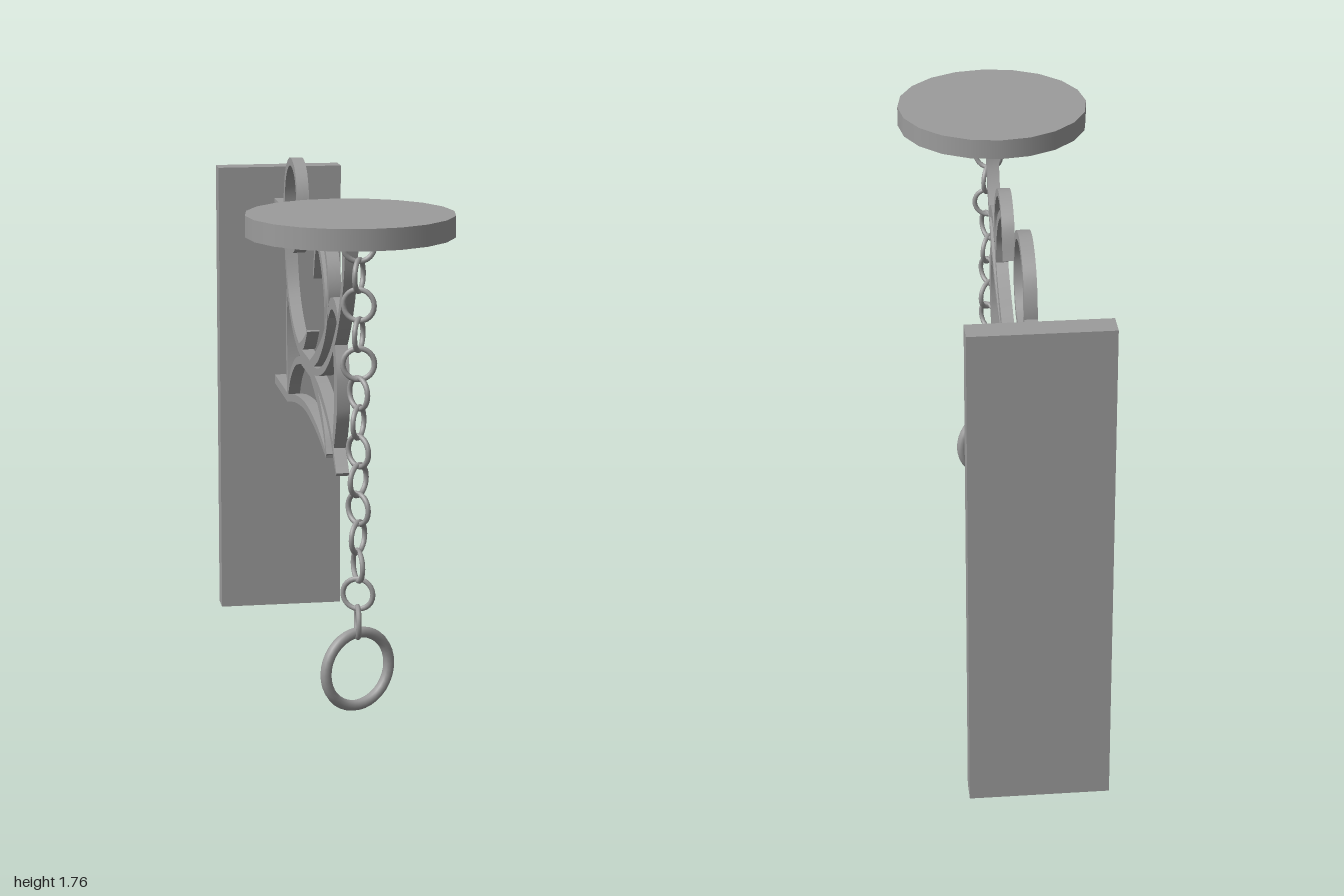
import * as THREE from 'three';
import { toCreasedNormals } from 'three/addons/utils/BufferGeometryUtils.js';

const DEPTH = 0.042;
const material = new THREE.MeshStandardMaterial({ color: 0x9c9c9c });

function add(parent, name, geometry, x = 0, y = 0, z = 0) {
  const mesh = new THREE.Mesh(geometry, material);
  mesh.name = name;
  mesh.position.set(x, y, z);
  parent.add(mesh);
  return mesh;
}

// Flat bar of varying width along a curve; points are [z, y, width]
function ribbon(points) {
  const curve = new THREE.CatmullRomCurve3(points.map(([z, y]) => new THREE.Vector3(z, y, 0)));
  const n = (points.length - 1) * 7;
  const a = [], b = [];
  for (let i = 0; i <= n; i++) {
    const t = i / n, p = curve.getPoint(t), d = curve.getTangent(t);
    const k = Math.min(Math.floor(t * (points.length - 1)), points.length - 2);
    const w = THREE.MathUtils.lerp(points[k][2], points[k + 1][2], t * (points.length - 1) - k) / 2;
    a.push(new THREE.Vector2(p.x - d.y * w, p.y + d.x * w));
    b.push(new THREE.Vector2(p.x + d.y * w, p.y - d.x * w));
  }
  const g = new THREE.ExtrudeGeometry(new THREE.Shape([...a, ...b.reverse()]), { depth: DEPTH, bevelEnabled: false });
  g.translate(0, 0, -DEPTH / 2);
  g.rotateY(-Math.PI / 2);
  return toCreasedNormals(g, 0.6);
}

const ironwork = {
  mainStem: [[0.675, 1.68, 0.065], [0.65, 1.52, 0.04], [0.57, 1.38, 0.03], [0.45, 1.265, 0.03],
    [0.29, 1.17, 0.028], [0.14, 1.12, 0.024], [-0.04, 1.096, 0.03]],
  centreBar: [[-0.02, 1.097, 0.055], [-0.13, 1.097, 0.055], [-0.24, 1.097, 0.055]],
  backScroll: [[-0.22, 1.1, 0.035], [-0.42, 1.155, 0.03], [-0.555, 1.255, 0.03], [-0.63, 1.415, 0.03],
    [-0.657, 1.575, 0.03], [-0.625, 1.675, 0.028], [-0.565, 1.727, 0.028], [-0.485, 1.747, 0.028],
    [-0.39, 1.715, 0.028], [-0.34, 1.62, 0.026], [-0.35, 1.525, 0.026], [-0.41, 1.455, 0.026], [-0.515, 1.435, 0.026]],
  scrollTail: [[-0.31, 1.12, 0.02], [-0.19, 1.155, 0.035], [-0.1, 1.215, 0.006]],
  backCrescent: [[-0.583, 1.28, 0.022], [-0.603, 1.185, 0.032], [-0.604, 1.065, 0.035], [-0.577, 0.9, 0.03]],
  backBrace: [[-0.23, 1.09, 0.03], [-0.395, 1.045, 0.025], [-0.51, 0.975, 0.025], [-0.585, 0.89, 0.025]],
  lowerBar: [[0.32, 0.877, 0.02], [0.115, 0.92, 0.027], [-0.13, 0.94, 0.027], [-0.365, 0.92, 0.027], [-0.59, 0.877, 0.027]],
  lowerFrontLeaf: [[-0.04, 1.092, 0.03], [0.195, 1.055, 0.03], [0.4, 0.975, 0.03], [0.53, 0.862, 0.015]],
  lowerInnerLeaf: [[-0.03, 1.085, 0.03], [0.16, 1.02, 0.045], [0.265, 0.95, 0.03], [0.32, 0.877, 0.02]],
  frontCrescent: [[0.48, 1.275, 0.045], [0.512, 1.185, 0.06], [0.512, 1.07, 0.06], [0.465, 0.945, 0.035]],
  frontScroll: [[-0.04, 1.108, 0.03], [0.14, 1.182, 0.045], [0.3, 1.295, 0.028], [0.355, 1.415, 0.026],
    [0.33, 1.51, 0.026], [0.255, 1.58, 0.026], [0.175, 1.595, 0.026], [0.088, 1.54, 0.026], [0.037, 1.425, 0.018]],
  scrollLeaf: [[0.3, 1.295, 0.022], [0.285, 1.4, 0.032], [0.22, 1.495, 0.032], [0.12, 1.565, 0.025]],
  stemArch: [[0.565, 1.365, 0.03], [0.49, 1.405, 0.042], [0.41, 1.4, 0.038], [0.355, 1.355, 0.025]],
};

export function createModel() {
  const model = new THREE.Group();
  model.name = 'wallBracket';

  // Wall plate and the two struts holding the ironwork
  add(model, 'wallPlate', new THREE.BoxGeometry(0.454, 1.675, 0.083), 0, 0.8375, -0.9585);
  add(model, 'upperStrut', new THREE.BoxGeometry(DEPTH, 0.055, 0.28), 0, 1.532, -0.79);
  add(model, 'lowerStrut', new THREE.BoxGeometry(DEPTH, 0.033, 0.35), 0, 0.879, -0.755);

  // Round tray
  add(model, 'tray', new THREE.CylinderGeometry(0.33, 0.33, 0.068, 20), 0, 1.698, 0.67);

  // Curved ironwork
  const iron = new THREE.Group();
  iron.name = 'ironwork';
  model.add(iron);
  for (const [name, points] of Object.entries(ironwork)) add(iron, name, ribbon(points));

  // Chain: each link turned about the vertical, in degrees
  const chain = new THREE.Group();
  chain.name = 'chain';
  model.add(chain);
  const link = new THREE.TorusGeometry(0.049, 0.0085, 8, 24);
  [0, 65, -25, 65, -8, -65, 60, -60, 50, -60, 55, -82, -25, 85].forEach((turn, i) => {
    add(chain, 'chainLink', link, 0, 1.656 - 0.0922 * i, 0.833).rotation.y = THREE.MathUtils.degToRad(turn);
  });

  // Pull ring
  add(model, 'pullRing', new THREE.TorusGeometry(0.12, 0.0175, 10, 36), 0, 0.303, 0.833).rotation.y = 0.43;

  return model;
}
